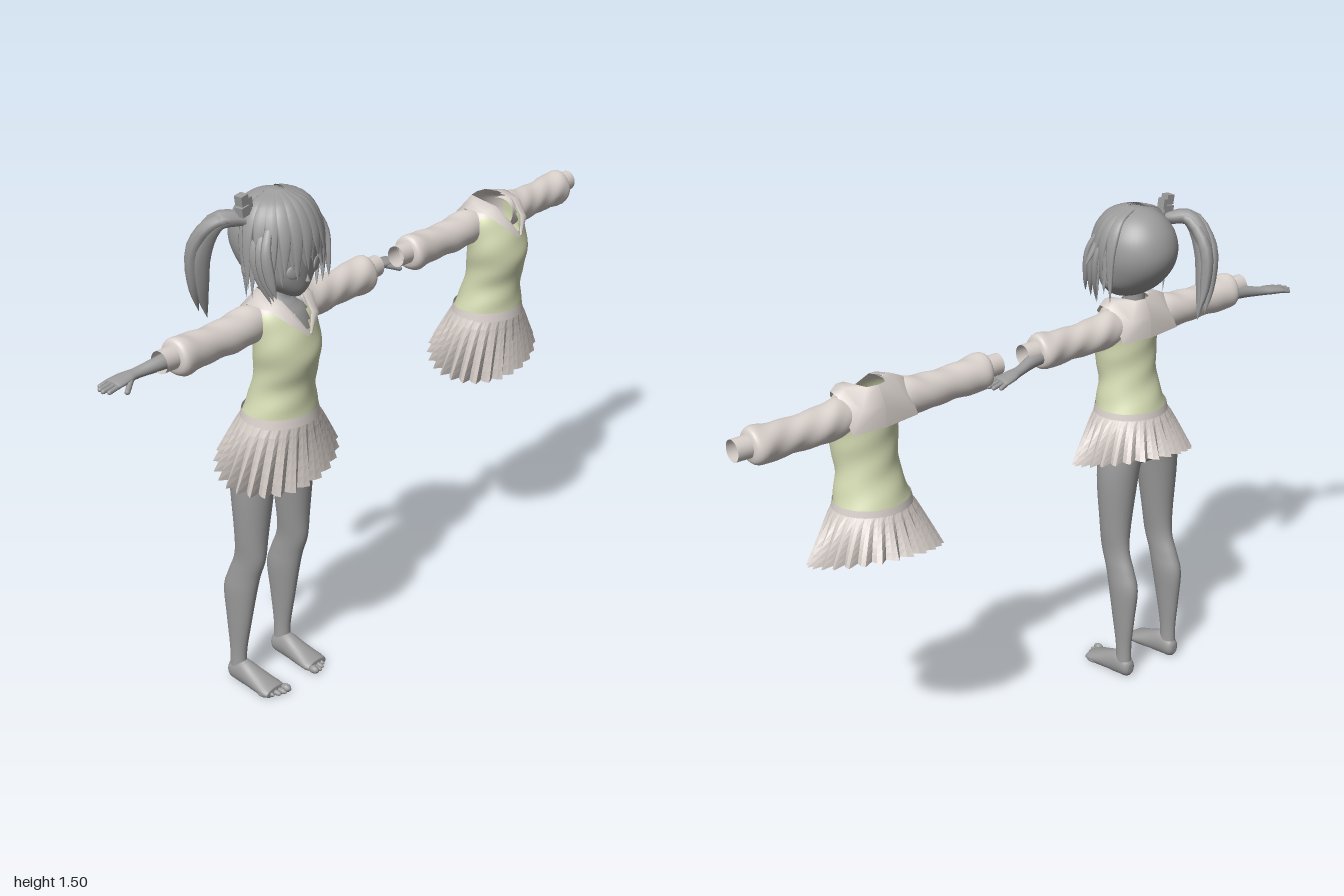
import * as THREE from 'three';

const mat = (name, color, side = THREE.DoubleSide) => {
  const m = new THREE.MeshStandardMaterial({ color, side });
  m.name = name;
  return m;
};
const grey = mat('bodyGrey', 0x9c9c9c);
const cream = mat('shirtCream', 0xd9d1cc);
const green = mat('vestGreen', 0xd5dbb3);
const pleat = mat('skirtCream', 0xd0c8c3);

const mesh = (name, geo, material) => {
  const m = new THREE.Mesh(geo, material);
  m.name = name;
  return m;
};

// Small seeded random source for the hair
let seed = 7;
const rnd = () => (seed = (seed * 16807) % 2147483647) / 2147483647;

// Skin over rings of points; pick(x, y, z) chooses a material slot per face, -1 leaves a hole
function skin(rings, { flip = false, closed = true, pick = null } = {}) {
  const n = rings[0].length, cols = closed ? n : n - 1, slots = [[], [], []];
  const at = (i, j) => rings[i][j % n];
  for (let i = 0; i < rings.length - 1; i++) for (let j = 0; j < cols; j++) {
    const a = i * n + j, b = i * n + (j + 1) % n, c = a + n, d = b + n;
    const mid = at(i, j).clone().add(at(i + 1, j + 1)).multiplyScalar(0.5);
    const slot = pick ? pick(mid.x, mid.y, mid.z) : 0;
    if (slot >= 0) slots[slot].push(...(flip ? [a, b, c, b, d, c] : [a, c, b, b, c, d]));
  }
  const g = new THREE.BufferGeometry().setFromPoints(rings.flat());
  g.setIndex(slots.flat());
  if (pick) slots.reduce((start, s, k) => (g.addGroup(start, s.length, k), start + s.length), 0);
  g.computeVertexNormals();
  return g;
}

const cubic = (p, q, r, s, t) =>
  q + 0.5 * t * (r - p + t * (2 * p - 5 * q + 4 * r - s + t * (3 * (q - r) + s - p)));

// Smooth loft through ellipse rows [position, centre1, radius1, centre2, radius2] along an axis
function loft(rows, { axis = 'y', seg = 28, steps = 5, cap = true, ripple = 0, side = 1, pick } = {}) {
  const rings = [], last = rows.length - 1;
  const ring = (s, c1, a, c2, b) => Array.from({ length: seg }, (_, j) => {
    const t = j / seg * Math.PI * 2, k = 1 + ripple * Math.sin(3 * t + s * 70);
    const u = c1 + Math.max(a, 0) * k * Math.cos(t), v = c2 + Math.max(b, 0) * k * Math.sin(t);
    return axis === 'y' ? new THREE.Vector3(u, s, v)
      : axis === 'x' ? new THREE.Vector3(side * s, u, v)
        : new THREE.Vector3(u, Math.max(v, 0), s);
  });
  for (let i = 0; i < last; i++) for (let k = 0; k < steps + (i === last - 1 ? 1 : 0); k++) {
    const p = [rows[Math.max(i - 1, 0)], rows[i], rows[i + 1], rows[Math.min(i + 2, last)]];
    rings.push(ring(...rows[i].map((_, c) => cubic(p[0][c], p[1][c], p[2][c], p[3][c], k / steps))));
  }
  if (cap) {
    const [a, b] = [rows[0], rows[last]];
    rings.unshift(ring(a[0], a[1], 0, a[3], 0));
    rings.push(ring(b[0], b[1], 0, b[3], 0));
  }
  return skin(rings, { flip: (axis !== 'y') !== (side < 0), pick });
}

// Tapered flat lock of hair swept along points, lying on the head
function strand(points, width, thick) {
  const curve = new THREE.CatmullRomCurve3(points.map(p => new THREE.Vector3(...p)));
  const centre = new THREE.Vector3(0.01, 1.33, 0), rings = [];
  for (let i = 0; i <= 14; i++) {
    const t = i / 14, p = curve.getPoint(t), T = curve.getTangent(t);
    const O = p.clone().sub(centre).addScaledVector(T, -p.clone().sub(centre).dot(T)).normalize();
    const W = T.clone().cross(O);
    const f = t < 0.5 ? 0.6 + 0.8 * t : 1 - ((t - 0.5) * 2) ** 2;
    rings.push(Array.from({ length: 8 }, (_, j) => p.clone()
      .addScaledVector(W, Math.cos(j * Math.PI / 4) * width * f)
      .addScaledVector(O, Math.sin(j * Math.PI / 4) * thick * f)));
  }
  return skin(rings);
}

// Rounded finger between two points
function finger(a, b, r) {
  const A = new THREE.Vector3(...a), B = new THREE.Vector3(...b), d = B.clone().sub(A);
  const m = mesh('finger', new THREE.CapsuleGeometry(r, d.length(), 4, 8), grey);
  m.position.copy(A).add(B).multiplyScalar(0.5);
  m.quaternion.setFromUnitVectors(new THREE.Vector3(0, 1, 0), d.normalize());
  return m;
}

function createOutfit() {
  const g = new THREE.Group();
  g.name = 'outfit';
  // Vest with shirt shoulders and a V opening
  g.add(mesh('vest', loft([
    [0.86, 0, 0.112, 0.015, 0.1], [0.9, 0, 0.102, 0.022, 0.092], [0.95, 0, 0.092, 0.03, 0.083],
    [1.0, 0, 0.093, 0.04, 0.085], [1.05, 0, 0.1, 0.045, 0.087], [1.1, 0, 0.104, 0.04, 0.082],
    [1.15, 0, 0.102, 0.03, 0.075], [1.185, 0, 0.088, 0.022, 0.06], [1.205, 0, 0.046, 0.02, 0.052],
  ], {
    seg: 56, cap: false, ripple: 0.012,
    pick: (x, y, z) => z > 0.03 && Math.abs(x) < (y - 1.11) * 0.5 ? -1
      : y > 1.172 || (z < 0 && y > 1.09) ? 1 : 0,
  }), [green, cream, cream]));

  // Puffed sleeves with narrow cuffs
  for (const s of [1, -1]) {
    g.add(mesh('sleeve', loft([
      [0.065, 1.14, 0.045, 0.008, 0.045], [0.11, 1.138, 0.053, 0.002, 0.05], [0.17, 1.132, 0.051, 0, 0.051],
      [0.25, 1.132, 0.048, 0, 0.046], [0.32, 1.133, 0.051, 0, 0.049], [0.365, 1.135, 0.054, 0, 0.053],
      [0.385, 1.138, 0.047, 0, 0.046], [0.392, 1.14, 0.031, 0, 0.03],
    ], { axis: 'x', side: s, cap: false, ripple: 0.03 }), cream));
    g.add(mesh('cuff', loft([[0.385, 1.14, 0.032, 0, 0.031], [0.437, 1.141, 0.031, 0, 0.029]],
      { axis: 'x', side: s, cap: false }), cream));
    // Half of the wide collar: lapel, shoulder and square back flap
    const inner = [[0.002, 1.11, 0.125], [0.028, 1.16, 0.108], [0.042, 1.2, 0.066], [0.046, 1.212, 0.01],
      [0.034, 1.213, -0.03], [0, 1.213, -0.036]];
    const outer = [[0.006, 1.104, 0.128], [0.058, 1.148, 0.108], [0.088, 1.186, 0.062], [0.108, 1.196, 0.0],
      [0.108, 1.105, -0.062], [0, 1.1, -0.066]];
    const v = p => new THREE.Vector3(p[0] * s, p[1], p[2]);
    g.add(mesh('collar', skin(inner.map((p, i) => [0, 0.5, 1].map(t => {
      const q = v(p).lerp(v(outer[i]), t);
      q.y += t === 0.5 ? 0.006 : 0;
      q.z += t === 0.5 ? (i > 3 ? -0.012 : 0.004) : 0;
      return q;
    })), { closed: false, flip: s > 0 }), cream));
  }

  // Pleated skirt with a sloping hem
  const n = 26 * 3, rings = [];
  for (let i = 0; i <= 6; i++) {
    const v = i / 6;
    rings.unshift(Array.from({ length: n }, (_, j) => {
      const t = j / n * Math.PI * 2, c = Math.cos(t), s = Math.sin(t);
      const k = 1 + v * [0.07, 0.0, -0.1][j % 3];
      const hem = 0.705 + 0.025 * c - 0.042 * s, e = Math.pow(v, 0.85);
      return new THREE.Vector3(0.015 * v + (0.113 + 0.083 * e) * c * k,
        0.855 + (hem - 0.855) * v, 0.014 - 0.028 * v + (0.102 + 0.032 * e) * s * k);
    }));
  }
  const skirt = skin(rings).toNonIndexed();
  skirt.computeVertexNormals();
  g.add(mesh('skirt', skirt, pleat));
  g.add(mesh('waistband', loft([[0.845, 0, 0.117, 0.014, 0.106], [0.872, 0, 0.112, 0.015, 0.101]],
    { cap: false, seg: 40 }), cream));
  return g;
}

function createHead() {
  const g = new THREE.Group();
  g.name = 'head';
  const X = 0.01;
  g.add(mesh('skull', loft([
    [1.205, X, 0.018, 0.062, 0.022], [1.225, X, 0.052, 0.04, 0.06], [1.26, X, 0.09, 0.018, 0.09],
    [1.31, X, 0.108, 0, 0.114], [1.36, X, 0.115, -0.008, 0.122], [1.41, X, 0.108, -0.006, 0.115],
    [1.45, X, 0.083, -0.005, 0.09], [1.475, X, 0.05, -0.005, 0.055], [1.486, X, 0.012, -0.005, 0.014],
  ], { seg: 40 }), grey));

  // Eyes, ears and nose
  for (const s of [1, -1]) {
    const eye = mesh('eye', new THREE.SphereGeometry(1, 20, 12), grey);
    eye.scale.set(0.022, 0.019, 0.005);
    eye.position.set(X + s * 0.045, 1.288, 0.104);
    eye.rotation.y = s * 0.4;
    const ear = mesh('ear', new THREE.SphereGeometry(1, 12, 10), grey);
    ear.scale.set(0.012, 0.025, 0.016);
    ear.position.set(X + s * 0.108, 1.29, -0.005);
    g.add(eye, ear);
  }
  const nose = mesh('nose', new THREE.ConeGeometry(0.007, 0.02, 8), grey);
  nose.position.set(X, 1.264, 0.113);
  g.add(nose);

  // Fringe in two layers, longer towards the sides
  for (let layer = 0; layer < 2; layer++) for (let i = 0; i < 13; i++) {
    const a = (i - 6 + layer * 0.5) * 0.27, sx = Math.sin(a), cz = Math.cos(a);
    const tip = 1.3 - 0.07 * Math.abs(sx) ** 2 + (rnd() - 0.5) * 0.05, r = 0.004 * layer;
    const bend = (rnd() - 0.5) * 0.03;
    g.add(mesh('fringe', strand([
      [X + sx * 0.02, 1.483 + r, cz * 0.03], [X + sx * (0.082 + r), 1.456 + r, cz * 0.09],
      [X + sx * (0.115 + r), 1.39, cz * (0.124 + r)], [X + sx * (0.122 + r) + bend, tip, cz * 0.137],
    ], 0.02, 0.006), grey));
  }
  // Side locks and a stray tuft
  for (const s of [1, -1]) for (let i = 0; i < 3; i++) {
    g.add(mesh('sideLock', strand([
      [X + s * 0.085, 1.43, 0.03 + i * 0.015], [X + s * 0.12, 1.36, 0.035 + i * 0.02],
      [X + s * 0.116, 1.28, 0.045 + i * 0.02], [X + s * (0.09 + i * 0.008), 1.2 + i * 0.015, 0.065 + i * 0.015],
    ], 0.016, 0.008), grey));
  }
  g.add(mesh('tuft', strand([[X + 0.09, 1.43, 0.05], [X + 0.12, 1.37, 0.05], [X + 0.15, 1.325, 0.05]], 0.014, 0.007), grey));

  // Side ponytail with its square tie
  [[0, 0, 0.036, 0.03], [-0.018, -0.012, 0.026, 0.02], [0.012, -0.02, 0.026, 0.02]].forEach(([dx, dz, w, h], i) =>
    g.add(mesh('ponytail', strand([
      [-0.095, 1.43, -0.01], [-0.155 + dx, 1.43, -0.05], [-0.172 + dx, 1.35, -0.095 + dz],
      [-0.16 + dx, 1.24, -0.112 + dz], [-0.135 + dx, 1.135 + i * 0.02, -0.118 + dz],
    ], w, h), grey)));
  [[-0.104, 1.455, 0.036, 0.026], [-0.11, 1.485, 0.026, 0.028], [-0.09, 1.475, 0.014, 0.03]].forEach(([x, y, w, h]) => {
    const b = mesh('hairTie', new THREE.BoxGeometry(w, h, 0.026), grey);
    b.position.set(x, y, -0.005);
    b.rotation.z = 0.15;
    g.add(b);
  });
  return g;
}

function createBody() {
  const g = new THREE.Group();
  g.name = 'body';
  g.add(mesh('torso', loft([
    [0.7, 0, 0.07, -0.025, 0.04], [0.73, 0, 0.118, -0.025, 0.075], [0.78, 0, 0.12, -0.015, 0.085],
    [0.86, 0, 0.095, 0.012, 0.08], [0.95, 0, 0.08, 0.03, 0.068], [1.05, 0, 0.088, 0.042, 0.072],
    [1.14, 0, 0.085, 0.027, 0.06], [1.175, 0, 0.055, 0.015, 0.045], [1.2, 0.003, 0.033, 0.008, 0.034],
    [1.26, 0.008, 0.032, 0.008, 0.034],
  ]), grey));
  for (const s of [1, -1]) {
    // Leg and foot
    g.add(mesh('leg', loft([
      [0.03, s * 0.095, 0.022, -0.08, 0.028], [0.1, s * 0.095, 0.02, -0.078, 0.028], [0.2, s * 0.094, 0.026, -0.073, 0.042],
      [0.3, s * 0.092, 0.033, -0.067, 0.056], [0.36, s * 0.091, 0.032, -0.05, 0.054], [0.42, s * 0.09, 0.033, -0.028, 0.052],
      [0.5, s * 0.088, 0.043, -0.022, 0.053], [0.66, s * 0.081, 0.06, -0.02, 0.066], [0.77, s * 0.068, 0.062, -0.025, 0.072],
    ]), grey));
    g.add(mesh('foot', loft([
      [-0.112, s * 0.094, 0.01, 0.028, 0.014], [-0.1, s * 0.094, 0.022, 0.03, 0.03], [-0.06, s * 0.094, 0.027, 0.033, 0.04],
      [-0.01, s * 0.093, 0.034, 0.022, 0.032], [0.04, s * 0.092, 0.041, 0.012, 0.02], [0.06, s * 0.092, 0.037, 0.01, 0.014],
    ], { axis: 'z' }), grey));
    for (let i = 0; i < 5; i++) {
      const r = i ? 0.009 - i * 0.0005 : 0.012;
      const toe = mesh('toe', new THREE.SphereGeometry(1, 10, 8), grey);
      toe.scale.set(r, r, 0.018);
      toe.position.set(s * (0.062 + i * 0.016), r, 0.072 - i * i * 0.0022);
      g.add(toe);
    }
    // Arm, hand and fingers
    g.add(mesh('arm', loft([
      [0.08, 1.137, 0.03, 0, 0.03], [0.25, 1.132, 0.026, -0.005, 0.026], [0.4, 1.128, 0.021, -0.018, 0.021],
      [0.48, 1.118, 0.014, -0.037, 0.017], [0.515, 1.115, 0.013, -0.043, 0.025], [0.55, 1.111, 0.011, -0.047, 0.029],
      [0.562, 1.11, 0.008, -0.048, 0.027],
    ], { axis: 'x', side: s }), grey));
    for (let i = 0; i < 4; i++) {
      const z = -0.026 - i * 0.0145, len = [0.587, 0.594, 0.59, 0.576][i];
      g.add(finger([s * 0.553, 1.11, z], [s * len, 1.104, z * 1.05], 0.0064));
    }
    g.add(finger([s * 0.512, 1.112, -0.026], [s * 0.548, 1.098, -0.004], 0.0075));
  }
  return g;
}

export function createModel() {
  const model = new THREE.Group();
  model.name = 'figureAndSpareOutfit';
  const outfit = createOutfit(), spare = outfit.clone();
  const figure = new THREE.Group();
  figure.name = 'figure';
  figure.add(createBody(), createHead(), outfit);
  figure.position.x = -0.4;
  spare.name = 'spareOutfit';
  spare.position.x = 0.563;
  model.add(figure, spare);
  return model;
}
